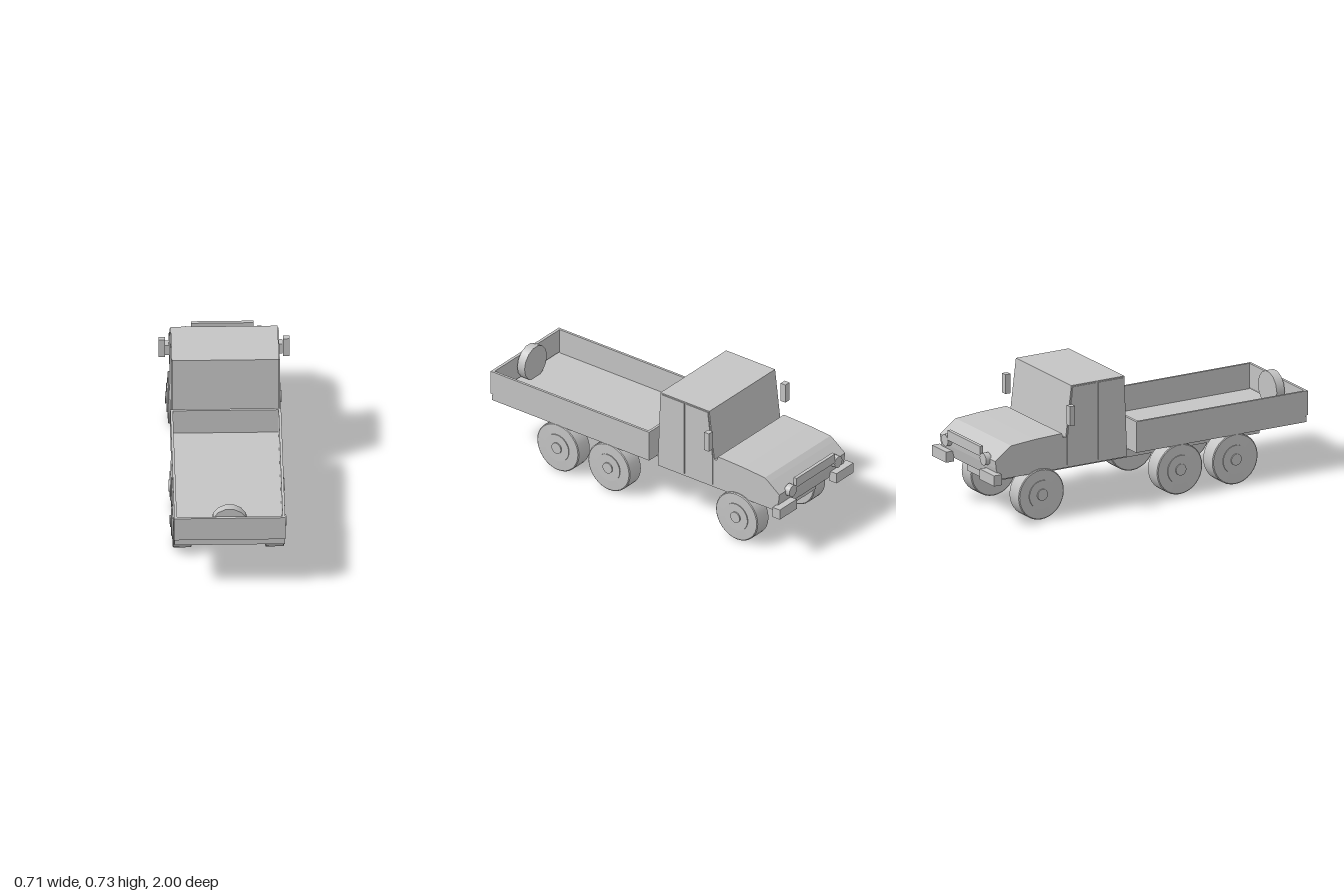
import * as THREE from 'three';

export function createModel() {
  const truck = new THREE.Group();
  truck.name = 'truck';
  const grey = new THREE.MeshStandardMaterial({ color: 0xc4c4c4 });
  grey.name = 'plain grey';

  const add = (name, geometry, parent = truck) => {
    const mesh = new THREE.Mesh(geometry, grey);
    mesh.name = name;
    parent.add(mesh);
    return mesh;
  };
  // Box given by its lower and upper limits
  const box = (name, x0, x1, y0, y1, z0, z1) =>
    add(name, new THREE.BoxGeometry(x1 - x0, y1 - y0, z1 - z0)
      .translate((x0 + x1) / 2, (y0 + y1) / 2, (z0 + z1) / 2));
  // Side profile of [z, y] points, extruded across x around a centre
  const slab = (name, points, width, centre = 0) => {
    const shape = new THREE.Shape(points.map(([z, y]) => new THREE.Vector2(z, y)));
    const geometry = new THREE.ExtrudeGeometry(shape, { depth: width, bevelEnabled: false });
    geometry.translate(0, 0, -width / 2).rotateY(-Math.PI / 2).translate(centre, 0, 0);
    return add(name, geometry);
  };

  // Chassis
  box('chassisRail', -0.125, 0.125, 0.2, 0.243, -0.9, 0.8);

  // Cab and bonnet, with the cowl notch between them
  slab('cabAndBonnet', [
    [-0.137, 0.265], [-0.155, 0.725], [-0.49, 0.725], [-0.525, 0.437], [-0.54, 0.437],
    [-0.55, 0.463], [-0.72, 0.457], [-0.87, 0.445], [-0.9, 0.425],
    [-0.97, 0.372], [-0.965, 0.33], [-0.95, 0.265],
  ], 0.58);

  // Cargo bed: floor, walls and tailgate
  box('bedFloor', -0.3, 0.3, 0.28, 0.312, -0.085, 0.99);
  box('bedFrontWall', -0.3, 0.3, 0.312, 0.456, -0.085, -0.07);
  box('tailgate', -0.302, 0.302, 0.318, 0.456, 0.983, 1.0);

  // Spare wheel standing against the tailgate
  const spare = new THREE.CylinderGeometry(0.0988, 0.0988, 0.05, 14, 1, false, Math.PI / 14);
  add('spareWheel', spare.rotateX(Math.PI / 2)).position.set(0, 0.4, 0.95);

  // Front guard plate
  box('guardPlate', -0.17, 0.17, 0.375, 0.43, -0.995, -0.975);

  // Stepped wheel, axis along x, with the hub outwards
  const profile = [
    [0, -0.051], [0.138, -0.051], [0.143, -0.047], [0.143, 0.047], [0.138, 0.051],
    [0.08, 0.053], [0.08, 0.058], [0.032, 0.058], [0.032, 0.065], [0, 0.065],
  ];
  const wheelGeometry = () => {
    const flat = [];
    // Doubled points keep the steps sharp
    profile.forEach(([r, h]) => flat.push(new THREE.Vector2(r, h)));
    const parts = new THREE.Group();
    for (let i = 0; i < flat.length - 1; i++) {
      const ring = new THREE.LatheGeometry([flat[i], flat[i + 1]], 32);
      add('wheelRing', ring.rotateZ(-Math.PI / 2), parts);
    }
    return parts;
  };

  for (const side of [-1, 1]) {
    const label = side > 0 ? 'left' : 'right';
    const span = (name, a, b, ...rest) =>
      box(label + name, Math.min(side * a, side * b), Math.max(side * a, side * b), ...rest);

    span('BedWall', 0.286, 0.3, 0.312, 0.456, -0.07, 0.983);
    span('Mirror', 0.32, 0.355, 0.52, 0.63, -0.537, -0.505);
    span('Bumper', 0.175, 0.325, 0.245, 0.305, -1.0, -0.95);

    // Door panels on the cab side
    slab(label + 'RearPanel',
      [[-0.15, 0.28], [-0.165, 0.718], [-0.322, 0.718], [-0.322, 0.28]], 0.006, side * 0.292);
    slab(label + 'Door',
      [[-0.332, 0.28], [-0.332, 0.718], [-0.483, 0.718], [-0.517, 0.44], [-0.517, 0.28]],
      0.006, side * 0.292);

    // Headlight
    const lamp = new THREE.CylinderGeometry(0.034, 0.034, 0.035, 16).rotateX(Math.PI / 2);
    add(label + 'Headlight', lamp).position.set(side * 0.2, 0.365, -0.977);

    // One steering axle and two rear axles
    [-0.685, 0.19, 0.54].forEach((z, i) => {
      const wheel = wheelGeometry();
      wheel.name = label + ['FrontWheel', 'MiddleWheel', 'RearWheel'][i];
      wheel.position.set(side * 0.25, 0.143, z);
      if (side < 0) wheel.rotation.y = Math.PI;
      truck.add(wheel);
    });
  }
  return truck;
}
